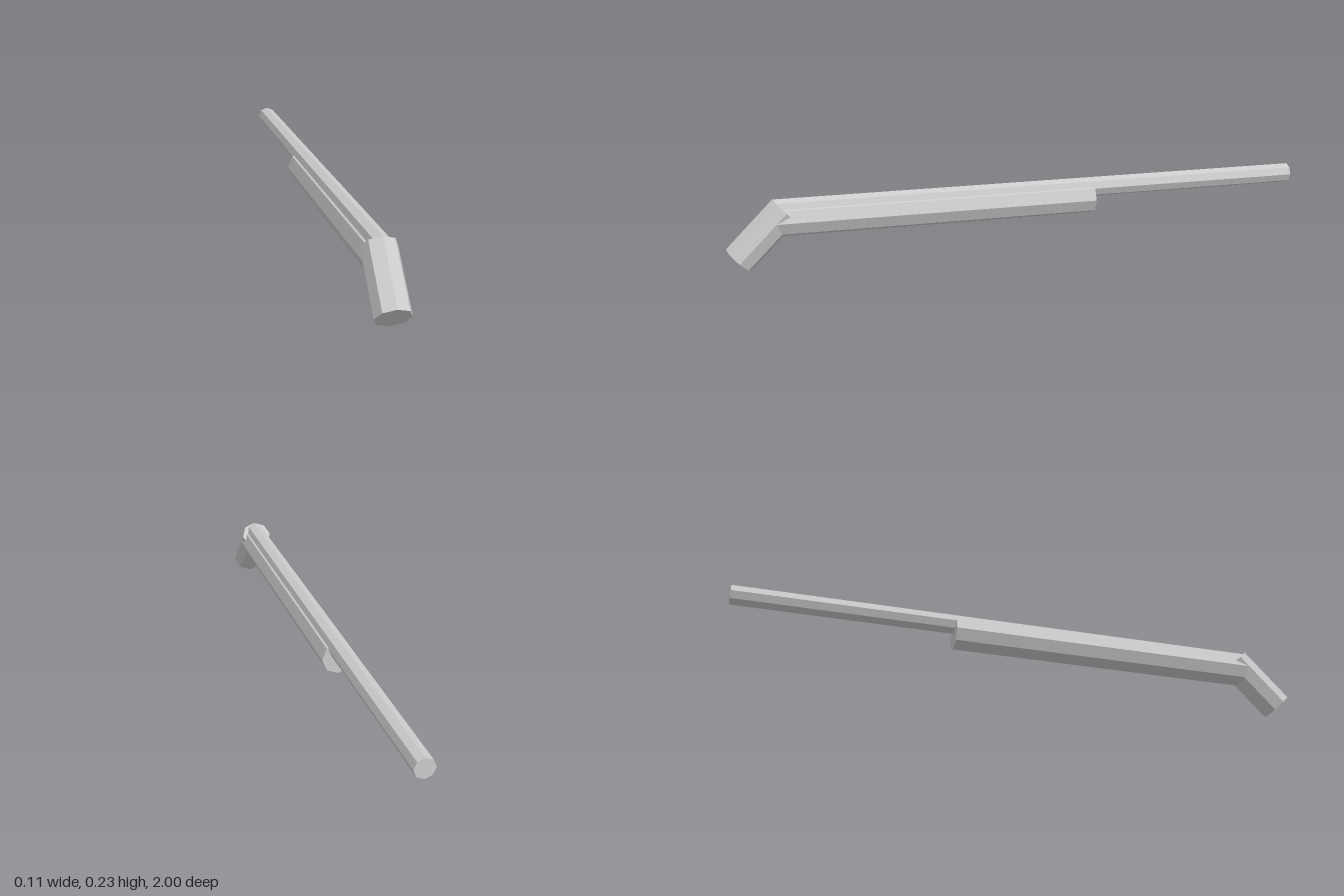
import * as THREE from 'three';

const SIDES = 8;

export function createModel() {
  const model = new THREE.Group();
  const material = new THREE.MeshStandardMaterial({ color: 0xcccccc, flatShading: true });

  // Capped octagonal rod between two (y, z) points on the centre plane
  function addRod(name, radius, [y0, z0], [y1, z1]) {
    const length = Math.hypot(y1 - y0, z1 - z0);
    const rod = new THREE.Mesh(new THREE.CylinderGeometry(radius, radius, length, SIDES), material);
    rod.name = name;
    rod.position.set(0, (y0 + y1) / 2, (z0 + z1) / 2);
    rod.rotation.x = Math.atan2(z1 - z0, y1 - y0);
    model.add(rod);
  }

  // Long thin barrel along the top
  addRod('barrel', 0.034, [0.2, -1], [0.2, 0.84]);
  // Thicker body slung beneath the barrel
  addRod('body', 0.055, [0.163, -0.25], [0.163, 0.835]);
  // Short end piece bent down at 45 degrees
  addRod('bentEnd', 0.055, [0.039, 0.961], [0.196, 0.804]);

  return model;
}
